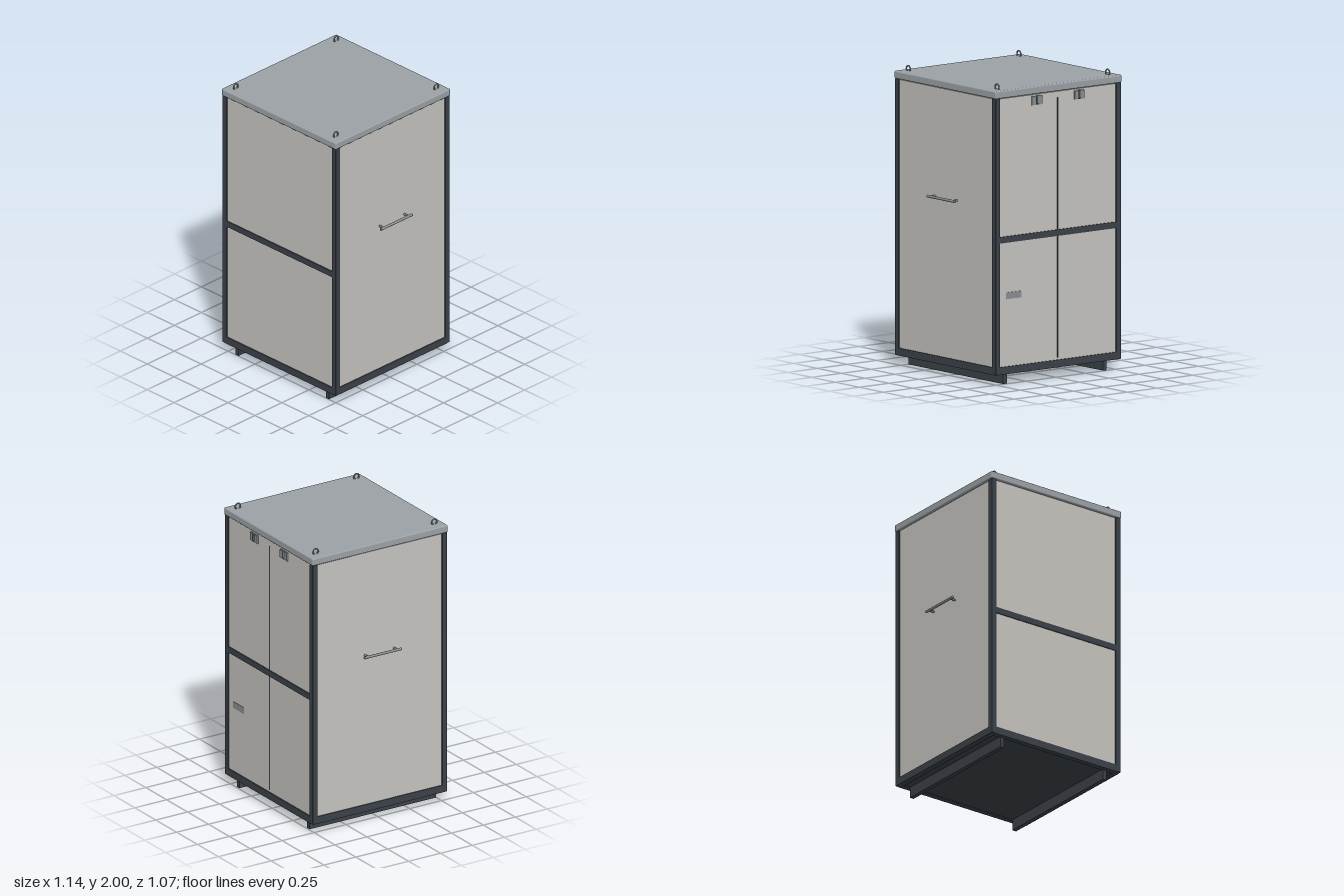
import * as THREE from 'three';
import { RoundedBoxGeometry } from 'three/addons/geometries/RoundedBoxGeometry.js';

const mat = (name, color) => {
  const m = new THREE.MeshStandardMaterial({ color });
  m.name = name;
  return m;
};

export function createModel() {
  const root = new THREE.Group();
  root.name = 'cabinet';
  const frame = mat('charcoal frame', 0x3c4249);
  const panel = mat('warm grey panel', 0xc8c5c0);
  const roof = mat('steel grey roof', 0x9ba2a6);
  const metal = mat('metal fittings', 0x8b9094);

  const add = (name, geo, material, x, y, z, parent = root) => {
    const m = new THREE.Mesh(geo, material);
    m.name = name;
    m.position.set(x, y, z);
    parent.add(m);
    return m;
  };
  const box = (name, w, h, d, material, x, y, z) =>
    add(name, new THREE.BoxGeometry(w, h, d), material, x, y, z);
  const soft = (name, w, h, d, r, material, x, y, z) =>
    add(name, new RoundedBoxGeometry(w, h, d, 2, r), material, x, y, z);

  const H = 0.528, T = 0.04, C = H - T / 2;   // half width, post width, post centre
  const P = H - 0.008;                        // outer face of the recessed panels

  // Enclosure core, with its four faces as the panels
  box('panelCore', 2 * P, 1.81, 2 * P, panel, 0, 1.0, 0);
  box('floorPlate', 2 * P, 0.02, 2 * P, frame, 0, 0.085, 0);

  // Corner posts and rails
  for (const sx of [-1, 1])
    for (const sz of [-1, 1])
      soft('cornerPost', T, 1.84, T, 0.005, frame, sx * C, 0.99, sz * C);
  for (const s of [-1, 1]) {
    box('bottomRail', 2 * C, 0.05, T, frame, 0, 0.095, s * (C - 0.001));
    box('bottomSideRail', T, 0.05, 2 * C, frame, s * (C - 0.001), 0.095, 0);
    box('middleRail', 2 * C, 0.042, T, frame, 0, 0.965, s * (C - 0.001));
    // Skids under the floor
    box('skid', 0.03, 0.085, 0.99, frame, s * 0.42, 0.0425, 0.003);
  }

  // Roof slab
  soft('roof', 1.064, 0.052, 1.064, 0.01, roof, 0, 1.934, 0);

  // Lifting eyes
  for (const sx of [-1, 1])
    for (const sz of [-1, 1]) {
      const eye = add('liftingEye', new THREE.TorusGeometry(0.02, 0.005, 10, 28),
        metal, sx * 0.465, 1.975, sz * 0.465);
      eye.rotation.y = Math.PI / 2;
    }

  // Side handles: a bar on two standoffs
  for (const s of [-1, 1]) {
    const handle = new THREE.Group();
    handle.name = 'sideHandle';
    const bar = add('handleBar', new THREE.CylinderGeometry(0.009, 0.009, 0.29, 16),
      metal, s * 0.561, 1.18, 0, handle);
    bar.rotation.x = Math.PI / 2;
    for (const z of [-0.114, 0.114]) {
      const post = add('handleStandoff', new THREE.CylinderGeometry(0.007, 0.007, 0.045, 12),
        metal, s * 0.5385, 1.18, z, handle);
      post.rotation.z = Math.PI / 2;
    }
    root.add(handle);
  }

  // Back door seams and lock plate
  box('upperDoorSeam', 0.008, 0.88, 0.004, frame, 0, 1.425, -P);
  box('lowerDoorSeam', 0.008, 0.81, 0.004, frame, 0, 0.54, -P);
  box('lockPlate', 0.13, 0.045, 0.006, metal, 0.37, 0.59, -P);

  // Door catches: two side plates around a narrow ridge
  for (const x of [-0.178, 0.178]) {
    box('catchBase', 0.085, 0.06, 0.008, metal, x, 1.865, -P - 0.003);
    for (const s of [-1, 1])
      box('catchPlate', 0.03, 0.052, 0.01, metal, x + s * 0.026, 1.865, -0.526);
    box('catchSlot', 0.022, 0.056, 0.003, frame, x, 1.865, -P - 0.0075);
    box('catchRidge', 0.01, 0.054, 0.02, metal, x, 1.87, -0.528);
  }
  return root;
}
